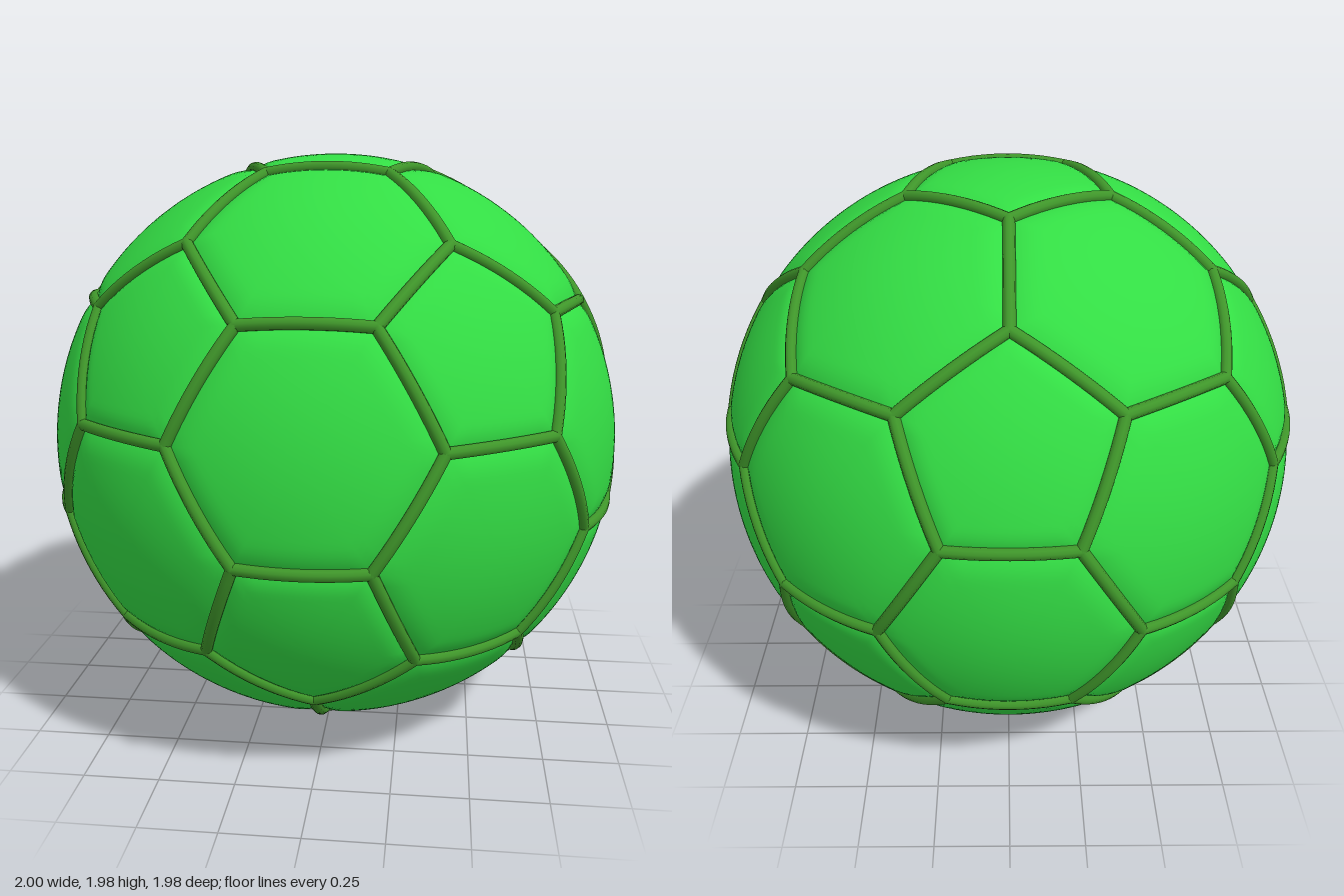
import * as THREE from 'three';
import { mergeGeometries } from 'three/addons/utils/BufferGeometryUtils.js';

const PANEL_R = 0.988, SEAM_R = 0.981, SEAM_THICKNESS = 0.019;

// Twelve pentagon centres: two poles and two staggered rings of five
function pentagonCentres() {
  const pts = [new THREE.Vector3(0, 1, 0), new THREE.Vector3(0, -1, 0)];
  const y = 1 / Math.sqrt(5), r = 2 * y;
  for (let k = 0; k < 5; k++) {
    const a = (k * 2 * Math.PI) / 5;
    pts.push(new THREE.Vector3(r * Math.sin(a), y, -r * Math.cos(a)));
    pts.push(new THREE.Vector3(r * Math.sin(a), -y, r * Math.cos(a)));
  }
  return pts;
}

// The n seam corners nearest a panel centre, in counter-clockwise order seen from outside
function cornersOf(centre, n, corners) {
  const near = [...corners].sort((a, b) => b.dot(centre) - a.dot(centre)).slice(0, n);
  const u = near[0].clone().addScaledVector(centre, -near[0].dot(centre)).normalize();
  const v = centre.clone().cross(u);
  const angle = (p) => Math.atan2(p.dot(v), p.dot(u));
  return near.sort((a, b) => angle(a) - angle(b));
}

// Domed panel made of rings from the centre out, dipping towards the seam
function panelGeometry(centre, loop) {
  const rings = 14, perSide = 8, m = loop.length * perSide;
  const pos = [], idx = [];
  for (let i = 0; i <= rings; i++) {
    const t = Math.pow(i / rings, 0.8);
    const dip = Math.max(0, (t - 0.76) / 0.24);
    const radius = PANEL_R - 0.017 * dip * dip;
    for (let j = 0; j < m; j++) {
      const s = Math.floor(j / perSide);
      const p = loop[s].clone().lerp(loop[(s + 1) % loop.length], (j % perSide) / perSide);
      p.lerpVectors(centre, p.normalize(), t).setLength(radius);
      pos.push(p.x, p.y, p.z);
      if (i === rings) continue;
      const a = i * m + j, b = i * m + ((j + 1) % m);
      if (i > 0) idx.push(a, a + m, b);
      idx.push(b, a + m, b + m);
    }
  }
  const g = new THREE.BufferGeometry();
  g.setAttribute('position', new THREE.Float32BufferAttribute(pos, 3));
  g.setIndex(idx);
  g.computeVertexNormals();
  // The innermost ring is a single point, facing straight out
  for (let j = 0; j < m; j++) g.attributes.normal.setXYZ(j, centre.x, centre.y, centre.z);
  return g;
}

// Round cord following the ball between two corners
function seamGeometry(a, b) {
  const pts = [];
  for (let i = 0; i <= 6; i++) pts.push(a.clone().lerp(b, i / 6).setLength(SEAM_R));
  return new THREE.TubeGeometry(new THREE.CatmullRomCurve3(pts), 10, SEAM_THICKNESS, 10);
}

export function createModel() {
  const model = new THREE.Group();
  model.name = 'ball';
  const green = new THREE.MeshStandardMaterial({ color: 0x33dd44 });
  const darkGreen = new THREE.MeshStandardMaterial({ color: 0x3f962a });

  // Panel centres and seam corners
  const pents = pentagonCentres();
  const adjacent = (a, b) => a !== b && a.dot(b) > 0.4;
  const hexes = [], corners = [];
  pents.forEach((a, i) => pents.forEach((b, j) => {
    if (!adjacent(a, b)) return;
    corners.push(a.clone().multiplyScalar(2).add(b).normalize());
    pents.forEach((c, k) => {
      if (i < j && j < k && adjacent(a, c) && adjacent(b, c))
        hexes.push(a.clone().add(b).add(c).normalize());
    });
  }));

  // Panels
  const panels = new THREE.Group();
  panels.name = 'panels';
  const addPanels = (centres, sides, name) => centres.forEach((c) => {
    const mesh = new THREE.Mesh(panelGeometry(c, cornersOf(c, sides, corners)), green);
    mesh.name = name;
    panels.add(mesh);
  });
  addPanels(pents, 5, 'pentagonPanel');
  addPanels(hexes, 6, 'hexagonPanel');

  // Seams, with a small bead closing each joint
  const parts = [];
  corners.forEach((a, i) => {
    const p = a.clone().multiplyScalar(SEAM_R);
    parts.push(new THREE.SphereGeometry(SEAM_THICKNESS, 10, 8).translate(p.x, p.y, p.z));
    corners.slice(i + 1).forEach((b) => {
      if (a.distanceTo(b) < 0.45) parts.push(seamGeometry(a, b));
    });
  });
  const seams = new THREE.Mesh(mergeGeometries(parts), darkGreen);
  seams.name = 'seams';

  model.add(panels, seams);
  model.position.y = PANEL_R;
  return model;
}
